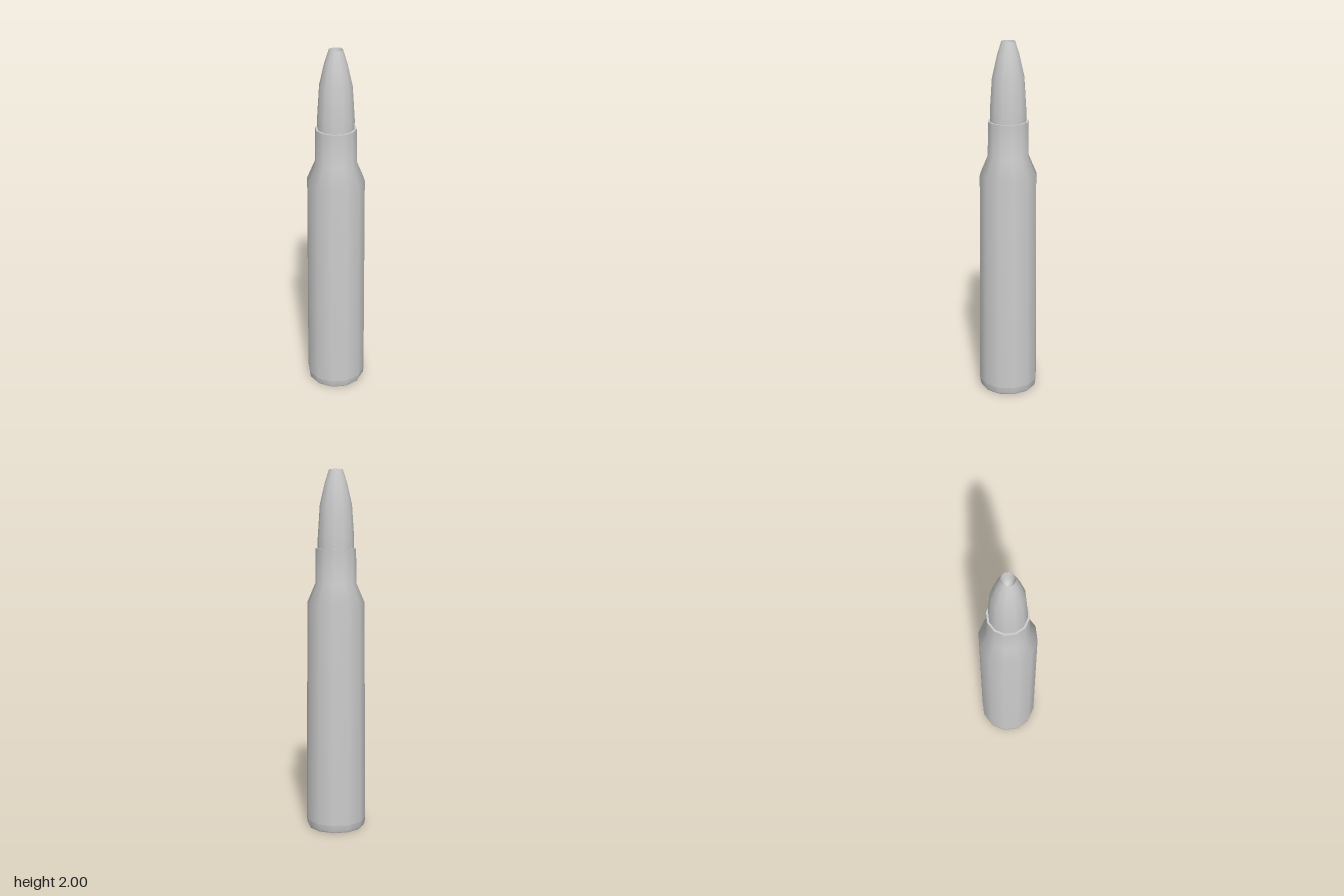
import * as THREE from 'three';

const SIDES = 12;
const material = new THREE.MeshStandardMaterial({ color: 0xcccccc });

// Turned strip: smooth along the profile, sharp where strips meet
function turned(name, profile) {
  const points = profile.map(([r, y]) => new THREE.Vector2(r, y));
  const mesh = new THREE.Mesh(new THREE.LatheGeometry(points, SIDES), material);
  mesh.name = name;
  return mesh;
}

function part(name, ...meshes) {
  const group = new THREE.Group();
  group.name = name;
  group.add(...meshes);
  return group;
}

export function createModel() {
  const model = new THREE.Group();
  model.name = 'cartridge';

  // Bottlenecked case with a slight taper and a chamfered foot
  model.add(part('case',
    turned('caseBase', [[0, 0], [0.158, 0]]),
    turned('caseChamfer', [[0.158, 0], [0.164, 0.012], [0.168, 0.045]]),
    turned('caseWall', [
      [0.168, 0.045], [0.158, 1.28], [0.113, 1.385], [0.111, 1.575],
    ]),
    turned('caseMouth', [[0.111, 1.575], [0.099, 1.575]]),
  ));

  // Curved bullet seated in the mouth, with a hollow point
  model.add(part('bullet',
    turned('bulletJacket', [
      [0.1, 1.54], [0.1, 1.63], [0.088, 1.81], [0.06, 1.93], [0.037, 2],
    ]),
    turned('bulletHollow', [[0.037, 2], [0.03, 1.95], [0.018, 1.925], [0, 1.915]]),
  ));

  return model;
}
